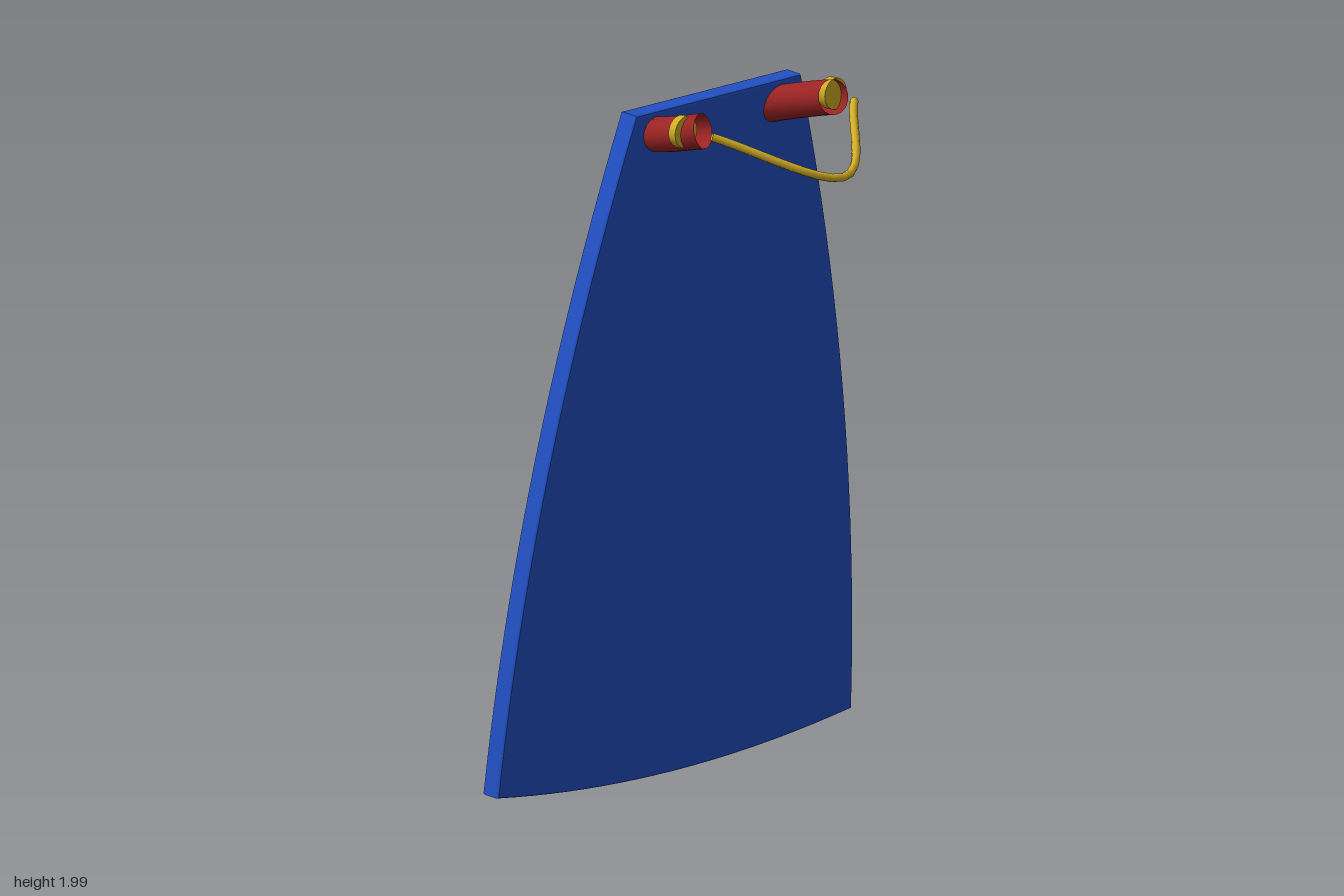
import * as THREE from 'three';

const blue = new THREE.MeshStandardMaterial({ name: 'royal blue cloth', color: 0x2352c8 });
const red = new THREE.MeshStandardMaterial({ name: 'dark red collar', color: 0x9c2424, side: THREE.DoubleSide });
const gold = new THREE.MeshStandardMaterial({ name: 'gold', color: 0xd4af26 });

function add(group, name, geometry, material) {
  const mesh = new THREE.Mesh(geometry, material);
  mesh.name = name;
  group.add(mesh);
  return mesh;
}

export function createModel() {
  const model = new THREE.Group();
  model.name = 'cape';

  // Flared panel with bowed sides and a curved hem, leaning forward at the top
  const bevel = 0.008;
  const outline = new THREE.Shape();
  outline.moveTo(-0.33, 1.963);
  outline.quadraticCurveTo(-0.66, 1.0, -0.712, 0.062);
  outline.quadraticCurveTo(0, -0.04, 0.712, 0.062);
  outline.quadraticCurveTo(0.66, 1.0, 0.33, 1.963);
  outline.closePath();
  const panel = new THREE.ExtrudeGeometry(outline, {
    depth: 0.046, curveSegments: 20, bevelEnabled: true,
    bevelThickness: bevel, bevelSize: bevel, bevelSegments: 2,
  });
  panel.translate(0, 0, -0.023);
  const cloth = add(model, 'capePanel', panel, blue);
  cloth.rotation.x = 0.087;
  cloth.position.set(0, 0.008, -0.325);

  // Open-ended collar ring, higher at the front
  const ring = new THREE.TorusGeometry(0.28, 0.05, 16, 40, Math.PI + 0.45);
  ring.rotateZ(-0.2);
  ring.rotateX(-Math.PI / 2 - 0.23);
  add(model, 'collar', ring, red).position.set(0, 1.932, 0);

  // Round clasps on both collar ends
  for (const side of [-1, 1]) {
    const disc = new THREE.CylinderGeometry(0.045, 0.045, 0.025, 20);
    disc.rotateX(Math.PI / 2);
    add(model, side > 0 ? 'leftClasp' : 'rightClasp', disc, gold).position.set(side * 0.305, 1.945, 0.022);
  }

  // Sagging cord across the front
  const sag = new THREE.CatmullRomCurve3([
    new THREE.Vector3(-0.29, 1.942, 0.118),
    new THREE.Vector3(0, 1.813, 0.345),
    new THREE.Vector3(0.29, 1.942, 0.118),
  ]);
  add(model, 'cord', new THREE.TubeGeometry(sag, 20, 0.012, 8), gold);
  for (const end of [0, 1]) {
    const cap = new THREE.CircleGeometry(0.012, 8);
    const mesh = add(model, 'cordEnd', cap, gold);
    const point = sag.getPoint(end);
    const outward = sag.getTangent(end).multiplyScalar(end ? 1 : -1);
    mesh.position.copy(point);
    mesh.lookAt(point.clone().add(outward));
  }

  return model;
}
